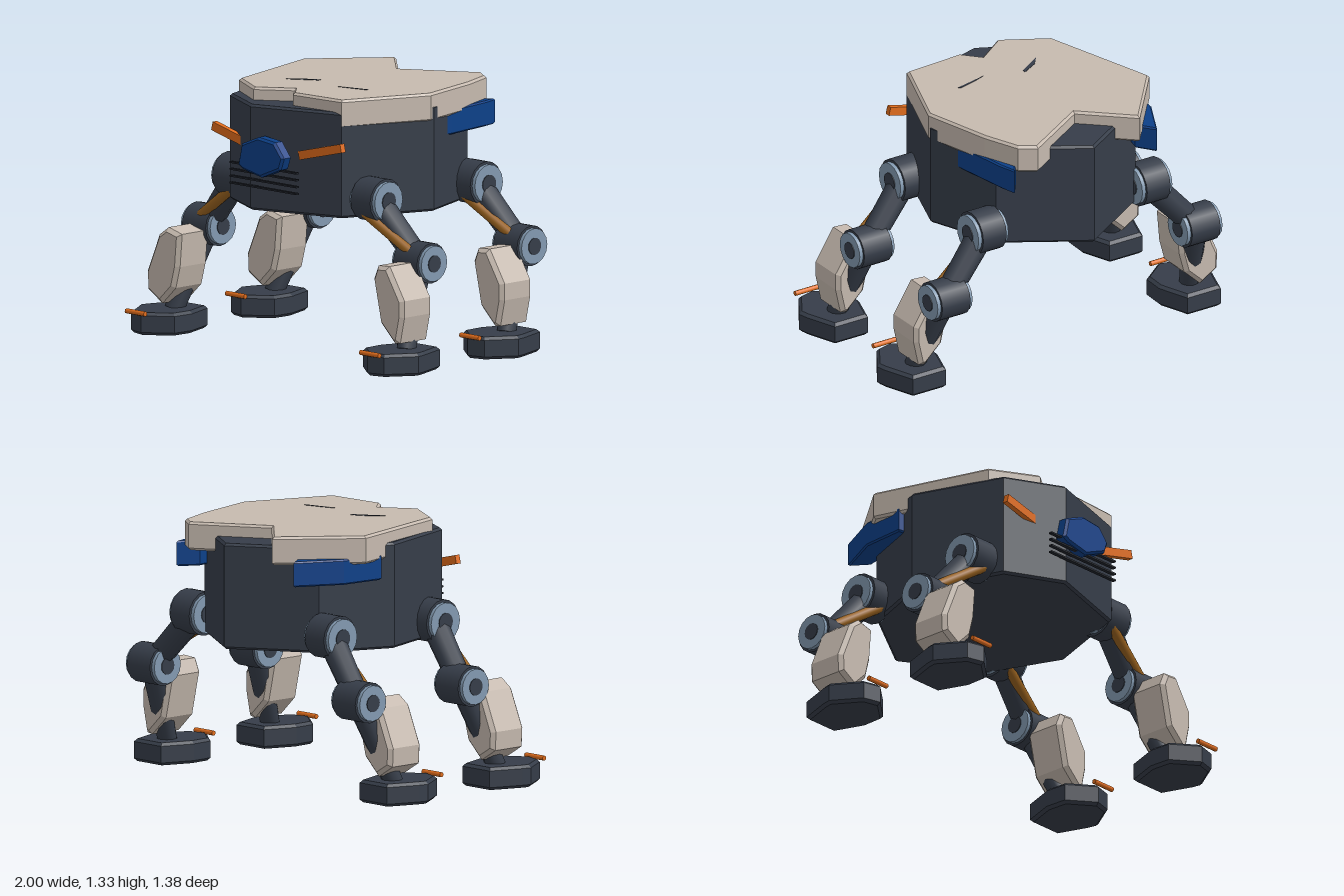
import * as THREE from 'three';

const material = (name, color) => {
  const m = new THREE.MeshStandardMaterial({ color });
  m.name = name;
  return m;
};
const charcoal = material('charcoal', 0x363d49);
const bone = material('bone', 0xc6baaf);
const blue = material('blue', 0x0d4088);
const silver = material('silver', 0x8299b0);
const orange = material('orange', 0xe06c1c);
const bronze = material('bronze', 0x9c6420);
const black = material('black', 0x20242c);

function add(parent, name, geometry, mat) {
  const mesh = new THREE.Mesh(geometry, mat);
  mesh.name = name;
  parent.add(mesh);
  return mesh;
}

// Bevelled prism along +z, from z = a to z = b
function prism(points, a, b, bevel) {
  const shape = new THREE.Shape(points.map(([x, y]) => new THREE.Vector2(x, y)));
  return new THREE.ExtrudeGeometry(shape, {
    depth: b - a - 2 * bevel, bevelThickness: bevel, bevelSize: bevel,
    bevelOffset: -bevel, bevelSegments: 1,
  }).translate(0, 0, a + bevel);
}

// Upright prism from an (x, z) outline
const slab = (outline, y0, y1, bevel) =>
  prism(outline.map(([x, z]) => [x, -z]), y0, y1, bevel).rotateX(-Math.PI / 2);

// Cylinder between two points
function rod(parent, name, from, to, r0, r1, sides, mat) {
  const a = new THREE.Vector3(...from), b = new THREE.Vector3(...to);
  const dir = b.clone().sub(a);
  const mesh = add(parent, name, new THREE.CylinderGeometry(r1, r0, dir.length(), sides), mat);
  mesh.position.copy(a).add(b).multiplyScalar(0.5);
  mesh.quaternion.setFromUnitVectors(new THREE.Vector3(0, 1, 0), dir.normalize());
  return mesh;
}

// Joint on a sideways axis: drum, metal collars and pin
function joint(parent, name, [x, y, z], radius, half) {
  const along = (part, r, h, mat) =>
    rod(parent, name + part, [x - h, y, z], [x + h, y, z], r, r, 16, mat);
  along('Drum', radius, half, charcoal);
  along('Collar', radius * 0.88, half + 0.02, silver);
  along('Pin', radius * 0.42, half + 0.024, charcoal);
}

const footOutline = [
  [0.73, 0.27], [0.93, 0.27], [0.99, 0.44], [1.0, 0.49],
  [0.905, 0.64], [0.81, 0.665], [0.675, 0.56], [0.67, 0.44],
];
const rightShin = [
  [-0.785, 0.535], [-0.69, 0.51], [-0.705, 0.34], [-0.735, 0.23],
  [-0.83, 0.14], [-0.93, 0.2], [-0.935, 0.295], [-0.85, 0.49],
];
const leftShin = [
  [0.715, 0.53], [0.795, 0.535], [0.9, 0.37], [0.9, 0.285],
  [0.87, 0.15], [0.835, 0.145], [0.735, 0.24], [0.685, 0.46],
];

function createLeg(side, z, name) {
  const leg = new THREE.Group();
  leg.name = name;
  leg.position.z = z;
  const s = side;
  joint(leg, 'hip', [s * 0.495, 0.815, 0.29], 0.113, 0.07);
  joint(leg, 'knee', [s * 0.755, 0.525, 0.24], 0.104, 0.085);
  rod(leg, 'upperLeg', [s * 0.49, 0.815, 0.29], [s * 0.755, 0.525, 0.24], 0.07, 0.062, 10, charcoal);
  rod(leg, 'piston', [s * 0.46, 0.765, 0.355], [s * 0.755, 0.575, 0.295], 0.027, 0.027, 10, bronze);
  rod(leg, 'lowerLeg', [s * 0.755, 0.525, 0.24], [s * 0.83, 0.1, 0.41], 0.065, 0.05, 10, charcoal);
  add(leg, 'shinGuard', prism(s > 0 ? leftShin : rightShin, 0.29, 0.51, 0.02), bone);
  add(leg, 'foot', slab(footOutline.map(([x, fz]) => [s * x, fz]), 0, 0.115, 0.015), charcoal);
  rod(leg, 'toeBar', [s * 0.77, 0.115, 0.672], [s * 0.905, 0.115, 0.672], 0.013, 0.013, 8, orange);
  return leg;
}

export function createModel() {
  const model = new THREE.Group();
  model.name = 'walker';

  // Hull and carapace
  add(model, 'hull', slab([
    [-0.11, 0.58], [0.39, 0.43], [0.565, -0.05], [0.42, -0.43],
    [0, -0.69], [-0.42, -0.43], [-0.57, -0.05], [-0.41, 0.43],
  ], 0.72, 1.26, 0.012), charcoal);
  add(model, 'carapace', slab([
    [-0.06, -0.42], [0.31, -0.645], [0.395, -0.59], [0.47, -0.4], [0.565, -0.03],
    [0.39, 0.43], [0.06, 0.45], [-0.02, 0.36], [-0.19, 0.48], [-0.43, 0.345],
    [-0.605, -0.28], [-0.305, -0.645],
  ], 1.18, 1.325, 0.012), bone);

  // Thin seams on the carapace
  add(model, 'rightSeam', slab([[-0.24, 0.2], [-0.1, 0.11], [-0.1, 0.09], [-0.19, 0.14]], 1.322, 1.327, 0), charcoal);
  add(model, 'leftSeam', slab([[0.1, 0.17], [0.28, 0.13], [0.27, 0.12], [0.17, 0.145]], 1.322, 1.327, 0), charcoal);

  // Rear side fins
  add(model, 'leftFin', slab([
    [0.36, -0.52], [0.43, -0.615], [0.458, -0.52], [0.503, -0.24], [0.51, -0.12], [0.42, -0.12],
  ], 1.08, 1.21, 0.008), blue);
  add(model, 'rightFin', slab([
    [-0.36, -0.52], [-0.43, -0.615], [-0.55, -0.38], [-0.57, -0.14], [-0.45, -0.12],
  ], 1.08, 1.21, 0.008), blue);

  // Face: visor, brows and vent bars
  add(model, 'visor', prism([
    [-0.165, 0.95], [-0.14, 1.06], [-0.02, 1.108], [0.1, 1.095],
    [0.162, 1.02], [0.14, 0.96], [0, 0.903], [-0.13, 0.93],
  ], 0.553, 0.622, 0.012), blue);
  for (const s of [-1, 1]) {
    const brow = add(model, s > 0 ? 'leftBrow' : 'rightBrow', new THREE.BoxGeometry(0.31, 0.045, 0.03), orange);
    brow.position.set(s * 0.31, 1.06, 0.492);
    brow.rotation.z = s * 0.24;
  }
  for (let i = 0; i < 4; i++) {
    const bar = add(model, 'ventBar' + (i + 1), new THREE.BoxGeometry(0.475, 0.009, 0.02), black);
    bar.position.set(0, 0.952 - i * 0.035, 0.592);
  }

  // Four legs
  for (const s of [-1, 1]) {
    const label = s > 0 ? 'Left' : 'Right';
    model.add(createLeg(s, 0, 'front' + label + 'Leg'));
    model.add(createLeg(s, -0.71, 'rear' + label + 'Leg'));
  }
  return model;
}
